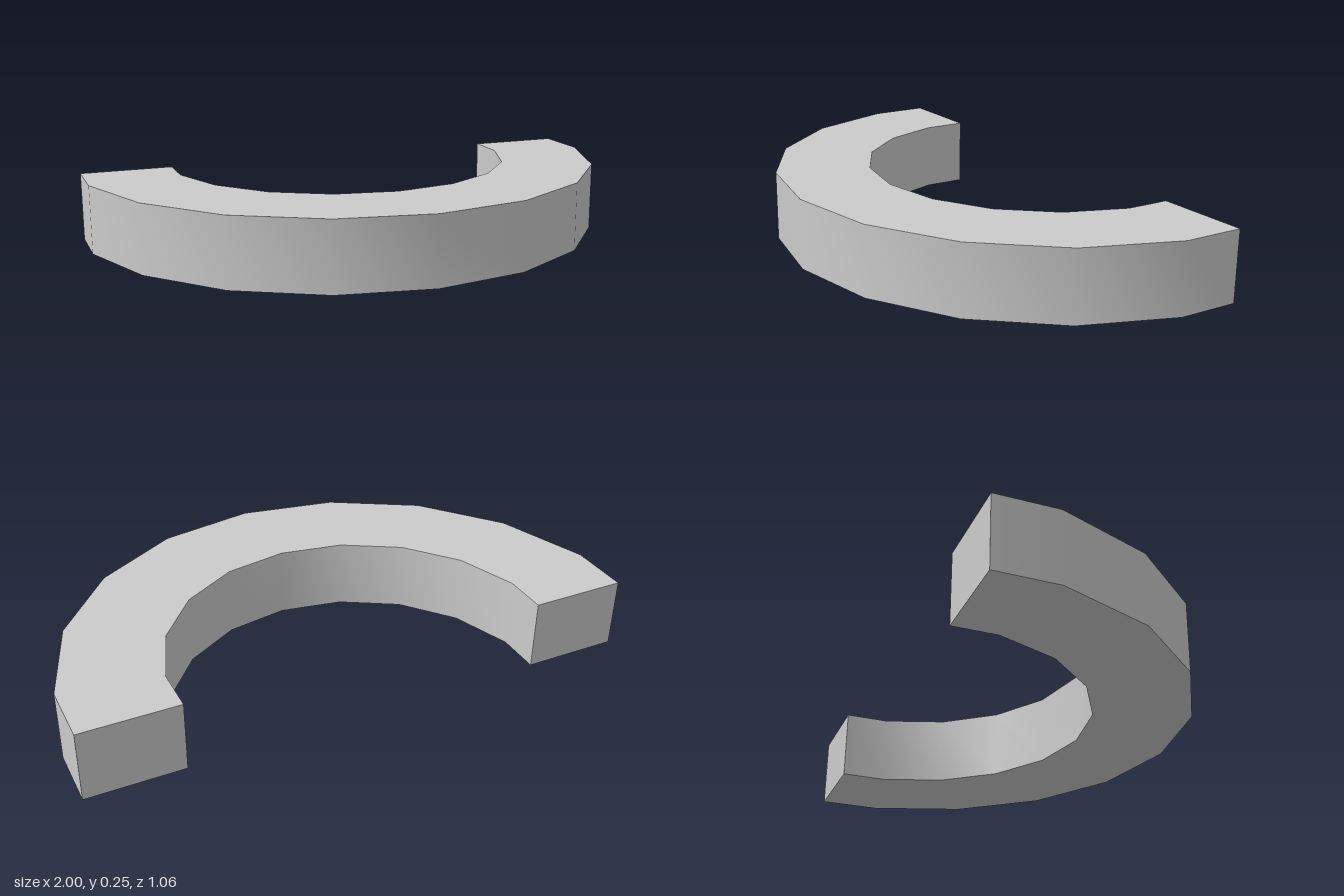
import * as THREE from 'three';
import { toCreasedNormals } from 'three/addons/utils/BufferGeometryUtils.js';

const HEIGHT = 0.255;
const BACK_Z = -0.53;
const CENTRE_Z = -0.485;
const OUTER_RADIUS = 1.0154;
const INNER_RADIUS = 0.665;

// Faceted arc from x < 0 to x > 0 in 20 degree steps, with straight ends running to the back
function wall(radius) {
  const points = [];
  for (let deg = -80; deg <= 80; deg += 20) {
    const a = THREE.MathUtils.degToRad(deg);
    points.push(new THREE.Vector2(radius * Math.sin(a), -(CENTRE_Z + radius * Math.cos(a))));
  }
  const endX = points[points.length - 1].x;
  return [new THREE.Vector2(-endX, -BACK_Z), ...points, new THREE.Vector2(endX, -BACK_Z)];
}

export function createModel() {
  const group = new THREE.Group();
  group.name = 'halfRing';

  // Outline: outer wall one way, inner wall back
  const outline = new THREE.Shape([...wall(OUTER_RADIUS), ...wall(INNER_RADIUS).reverse()]);
  const solid = new THREE.ExtrudeGeometry(outline, { depth: HEIGHT, bevelEnabled: false });
  solid.rotateX(-Math.PI / 2);

  // Curved walls shade smoothly, while ends and rims stay sharp
  const arch = new THREE.Mesh(
    toCreasedNormals(solid, 0.6),
    new THREE.MeshStandardMaterial({ color: 0xcccccc })
  );
  arch.name = 'curvedArch';
  group.add(arch);
  return group;
}
